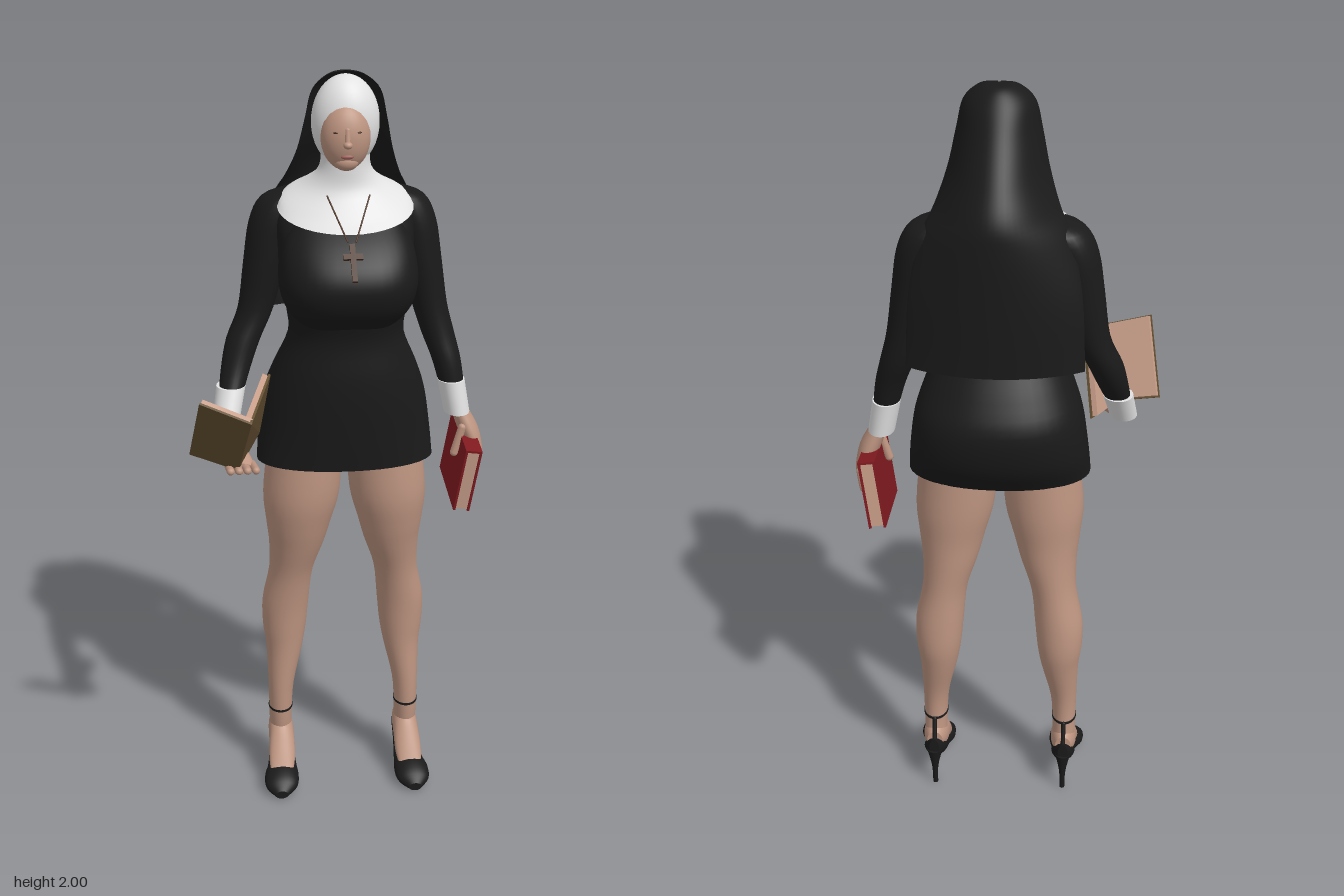
import * as THREE from 'three';
import { ConvexGeometry } from 'three/addons/geometries/ConvexGeometry.js';

const MID = 0.02; // body's plane of symmetry
const V = (x, y, z) => new THREE.Vector3(x, y, z);
const material = (name, color, side = THREE.FrontSide) => {
  const m = new THREE.MeshStandardMaterial({ color, side });
  m.name = name;
  return m;
};

// Surface from index grid; rings wrap when closed
function gridGeometry(rings, closed) {
  const n = rings[0].length, pos = rings.flat().flatMap(p => [p.x, p.y, p.z]), idx = [];
  for (let r = 0; r < rings.length - 1; r++)
    for (let i = 0; i < (closed ? n : n - 1); i++) {
      const a = r * n + i, b = r * n + (i + 1) % n;
      idx.push(a, b, b + n, a, b + n, a + n);
    }
  if (closed) for (const [k, flip] of [[0, true], [rings.length - 1, false]]) { // flat end caps
    const start = pos.length / 3, ring = rings[k];
    const c = ring.reduce((s, p) => s.add(p), V(0, 0, 0)).divideScalar(n);
    for (const p of [...ring, c]) pos.push(p.x, p.y, p.z);
    for (let i = 0; i < n; i++) {
      const a = start + i, b = start + (i + 1) % n;
      idx.push(...(flip ? [b, a, start + n] : [a, b, start + n]));
    }
  }
  const g = new THREE.BufferGeometry();
  g.setAttribute('position', new THREE.Float32BufferAttribute(pos, 3));
  g.setIndex(idx);
  g.computeVertexNormals();
  return g;
}

// Smooth loft through rows of [x, y, z, radiusA, radiusB, tilt], rising along y or z
function loft(rows, { axis = 'y', n = 28, sub = 4, e = 1 } = {}) {
  const k = axis === 'y' ? 1 : 2;
  if (rows[0][k] > rows[rows.length - 1][k]) rows = [...rows].reverse();
  const path = new THREE.CatmullRomCurve3(rows.map(r => V(r[0], r[1], r[2])), false, 'catmullrom');
  const size = new THREE.CatmullRomCurve3(rows.map(r => V(r[3], r[4], r[5] || 0)), false, 'catmullrom');
  const steps = (rows.length - 1) * sub, pw = v => Math.sign(v) * Math.abs(v) ** e;
  const rings = [];
  for (let s = 0; s <= steps; s++) {
    const c = path.getPoint(s / steps), q = size.getPoint(s / steps), ring = [];
    for (let i = 0; i < n; i++) {
      const t = i / n * Math.PI * 2, a = q.x * pw(Math.cos(t)), b = q.y * pw(Math.sin(t));
      ring.push(axis === 'y' ? V(c.x + a, c.y + q.z * b, c.z - b) : V(c.x + a, c.y + b, c.z));
    }
    rings.push(ring);
  }
  return gridGeometry(rings, true);
}

// Convex slab on four corners, between two offsets towards a point
function slab(corners, towards, t0, t1, shrink) {
  const [a, b, c] = corners;
  const mid = corners.reduce((s, p) => s.add(p), V(0, 0, 0)).divideScalar(4);
  const nrm = b.clone().sub(a).cross(c.clone().sub(a)).normalize();
  if (nrm.dot(towards.clone().sub(mid)) < 0) nrm.negate();
  return new ConvexGeometry([t0, t1].flatMap(t =>
    corners.map(p => mid.clone().lerp(p, shrink).addScaledVector(nrm, t))));
}

export function createModel() {
  const skin = material('skin', 0xbe9581), black = material('black cloth', 0x1a1a1a);
  const veilMat = material('veil cloth', 0x1a1a1a, THREE.DoubleSide);
  const white = material('white linen', 0xe2e2e2), red = material('red cover', 0x801a20);
  const brown = material('brown cover', 0x645032), paper = material('paper', 0xc79d88);
  const bronze = material('bronze', 0x4a3020), lip = material('lips', 0xa0605a);
  const model = new THREE.Group();
  const add = (name, geo, mat, parent = model) => {
    const m = new THREE.Mesh(geo, mat);
    m.name = name;
    parent.add(m);
    return m;
  };
  const ball = (name, mat, c, r) => add(name, new THREE.SphereGeometry(1, 28, 20).scale(...r).translate(...c), mat);
  const rod = (name, mat, a, b, r) => {
    const d = b.clone().sub(a);
    const m = add(name, new THREE.CapsuleGeometry(r, d.length(), 5, 10), mat);
    m.position.copy(a).addScaledVector(d, 0.5);
    m.quaternion.setFromUnitVectors(V(0, 1, 0), d.normalize());
  };
  const box = (name, mat, s, p, parent) => add(name, new THREE.BoxGeometry(...s), mat, parent).position.set(...p);
  const mirror = (rows, s) => rows.map(r => [MID + s * (r[0] - MID), ...r.slice(1)]);

  // Dress
  add('dress', loft([
    [MID, 1.0, -0.075, 0.233, 0.125], [MID, 1.08, -0.093, 0.226, 0.153], [MID, 1.18, -0.095, 0.211, 0.165],
    [MID, 1.26, -0.075, 0.184, 0.148], [MID, 1.35, -0.05, 0.148, 0.12], [MID, 1.42, -0.04, 0.152, 0.13],
    [MID, 1.5, -0.04, 0.167, 0.145], [MID, 1.58, -0.055, 0.17, 0.138], [MID, 1.64, -0.08, 0.17, 0.115],
    [MID, 1.69, -0.11, 0.15, 0.085], [MID, 1.74, -0.11, 0.07, 0.05]], { n: 40, e: 0.92 }), black);
  add('bust', loft([
    [MID, 1.375, 0.01, 0.09, 0.05], [MID, 1.41, 0.005, 0.135, 0.092], [MID, 1.45, 0.0, 0.162, 0.127],
    [MID, 1.5, 0.0, 0.173, 0.141], [MID, 1.55, -0.005, 0.17, 0.132], [MID, 1.6, -0.015, 0.158, 0.102],
    [MID, 1.65, -0.03, 0.13, 0.06]], { n: 40, e: 0.78 }), black);

  // Collar, wimple and face
  add('collar', loft([
    [MID, 1.672, -0.06, 0.17, 0.13, 0.32], [MID, 1.695, -0.075, 0.155, 0.111, 0.3],
    [MID, 1.73, -0.082, 0.1, 0.077, 0.2], [MID, 1.77, -0.07, 0.064, 0.06], [MID, 1.84, -0.06, 0.06, 0.055]],
    { n: 36 }), white);
  ball('wimple', white, [MID, 1.878, -0.065], [0.084, 0.113, 0.073]);
  ball('face', skin, [0.016, 1.85, -0.022], [0.061, 0.082, 0.05]);
  ball('chin', skin, [0.016, 1.792, -0.004], [0.03, 0.022, 0.022]);
  ball('noseTip', skin, [0.016, 1.838, 0.031], [0.011, 0.009, 0.012]);
  rod('noseBridge', skin, V(0.016, 1.872, 0.022), V(0.016, 1.842, 0.029), 0.007);
  ball('lips', lip, [0.016, 1.808, 0.018], [0.016, 0.006, 0.006]);
  for (const s of [1, -1]) ball('eye', bronze, [0.016 + s * 0.025, 1.866, 0.019], [0.01, 0.0025, 0.004]);

  // Veil: rows of [y, half width, edge z, back z], folding to a ridge at the back
  const veilRows = [
    [2.0, 0.004, -0.052, -0.062], [1.992, 0.045, -0.045, -0.1], [1.957, 0.083, -0.045, -0.135],
    [1.89, 0.1, -0.048, -0.18], [1.81, 0.118, -0.075, -0.238], [1.74, 0.143, -0.125, -0.28],
    [1.67, 0.176, -0.175, -0.29], [1.54, 0.203, -0.215, -0.29], [1.36, 0.213, -0.23, -0.285]];
  const wide = new THREE.CatmullRomCurve3(veilRows.map(r => V(r[1], r[0], 0)), false, 'catmullrom');
  const deep = new THREE.CatmullRomCurve3(veilRows.map(r => V(r[2], r[3], 0)), false, 'catmullrom');
  const veilRings = [];
  for (let j = 0; j <= 40; j++) {
    const w = wide.getPoint(j / 40), d = deep.getPoint(j / 40), ring = [];
    for (let i = 0; i <= 32; i++) {
      const a = (i / 32 - 0.5) * Math.PI;
      ring.push(V(MID + w.x * Math.sin(a), w.y, d.x + (d.y - d.x) * Math.max(0, Math.cos(a)) ** (1 + 0.8 * j / 40)));
    }
    veilRings.push(ring);
  }
  add('veil', gridGeometry(veilRings, false), veilMat);

  // Necklace and cross
  for (const s of [1, -1])
    rod('necklace', bronze, V(MID + s * 0.052, 1.712, 0.008), V(MID + s * 0.01, 1.618, 0.088), 0.002);
  const cross = new THREE.Group();
  cross.name = 'cross';
  cross.position.set(MID, 1.576, 0.124);
  cross.rotation.x = -0.75;
  model.add(cross);
  box('crossUpright', bronze, [0.013, 0.1, 0.008], [0, 0, 0], cross);
  box('crossBar', bronze, [0.048, 0.014, 0.008], [0, 0.016, 0], cross);

  // Sleeves and cuffs
  const upper = [
    [0.14, 1.705, -0.125, 0.025, 0.04], [0.172, 1.68, -0.13, 0.055, 0.065], [0.2, 1.62, -0.128, 0.058, 0.07],
    [0.22, 1.52, -0.125, 0.054, 0.062], [0.245, 1.4, -0.122, 0.046, 0.05]];
  add('leftSleeve', loft([...upper, [0.268, 1.32, -0.115, 0.043, 0.046],
    [0.29, 1.25, -0.1, 0.038, 0.042], [0.307, 1.17, -0.09, 0.032, 0.036]]), black);
  add('rightSleeve', loft([...mirror(upper, -1), [-0.24, 1.32, -0.105, 0.044, 0.048],
    [-0.262, 1.25, -0.08, 0.038, 0.041], [-0.28, 1.18, -0.042, 0.03, 0.033]]), black);
  add('leftCuff', loft([[0.303, 1.195, -0.092, 0.036, 0.045], [0.32, 1.105, -0.087, 0.034, 0.046]]), white);
  add('rightCuff', loft([[-0.276, 1.21, -0.06, 0.038, 0.043], [-0.292, 1.13, -0.018, 0.035, 0.04]]), white);

  // Left hand gripping the closed book
  add('leftHand', loft([[0.324, 1.12, -0.087, 0.022, 0.03], [0.35, 1.06, -0.083, 0.028, 0.045],
    [0.37, 1.0, -0.083, 0.021, 0.05], [0.371, 0.97, -0.083, 0.013, 0.045]]), skin);
  for (let i = 0; i < 4; i++) {
    const z = -0.12 + i * 0.024;
    rod('leftFinger', skin, V(0.374, 0.995, z), V(0.368, 0.948 + 0.006 * i, z - 0.002), 0.012);
  }
  rod('leftThumb', skin, V(0.33, 1.07, -0.05), V(0.31, 1.0, -0.05), 0.011);
  const closed = new THREE.Group();
  closed.name = 'closedBook';
  closed.position.set(0.336, 0.958, -0.09);
  closed.rotation.set(0.13, 0, -0.14);
  model.add(closed);
  for (const s of [1, -1]) box('cover', red, [0.006, 0.18, 0.225], [s * 0.019, 0, 0], closed);
  box('spine', red, [0.044, 0.006, 0.225], [0, 0.09, 0], closed);
  box('pages', paper, [0.032, 0.173, 0.215], [0, 0, 0], closed);

  // Right hand holding the open book from beneath
  add('rightHand', loft([[-0.293, 1.15, -0.025, 0.027, 0.03], [-0.294, 1.12, 0.03, 0.024, 0.027],
    [-0.283, 1.09, 0.085, 0.036, 0.024], [-0.27, 1.073, 0.13, 0.038, 0.02], [-0.262, 1.066, 0.155, 0.03, 0.014]],
    { axis: 'z' }), skin);
  for (let i = 0; i < 4; i++)
    rod('rightFinger', skin, V(-0.295 + i * 0.02, 1.068, 0.13), V(-0.29 + i * 0.021, 1.07, 0.178), 0.01);
  rod('rightThumb', skin, V(-0.285, 1.1, 0.07), V(-0.268, 1.125, 0.135), 0.011);
  const spineTop = V(-0.24, 1.235, 0.285), spineLow = V(-0.27, 1.066, 0.165), inner = V(-0.285, 1.19, 0.12);
  for (const [top, low] of [[V(-0.182, 1.292, 0.1), V(-0.208, 1.1, 0.005)], [V(-0.362, 1.28, 0.255), V(-0.39, 1.1, 0.13)]]) {
    const corners = [spineTop, spineLow, low, top];
    add('openCover', slab(corners, inner, 0, 0.006, 1), brown);
    add('openPages', slab(corners, inner, 0.006, 0.02, 0.96), paper);
  }

  // Legs and heeled shoes
  const leg = [
    [0.125, 1.03, -0.08, 0.1, 0.105], [0.136, 0.9, -0.08, 0.102, 0.106], [0.144, 0.81, -0.086, 0.087, 0.095],
    [0.15, 0.74, -0.096, 0.074, 0.085], [0.165, 0.65, -0.11, 0.06, 0.072], [0.18, 0.55, -0.122, 0.064, 0.068],
    [0.184, 0.47, -0.126, 0.06, 0.065], [0.186, 0.4, -0.122, 0.05, 0.057], [0.197, 0.29, -0.11, 0.036, 0.045],
    [0.2, 0.2, -0.11, 0.032, 0.042], [0.2, 0.12, -0.12, 0.031, 0.043]];
  const foot = [
    [0.2, 0.14, -0.165, 0.022, 0.03], [0.2, 0.135, -0.13, 0.034, 0.05], [0.2, 0.115, -0.08, 0.036, 0.05],
    [0.202, 0.078, -0.04, 0.037, 0.036], [0.205, 0.042, 0.0, 0.03, 0.012]];
  const shoe = [
    [0.2, 0.13, -0.188, 0.014, 0.032], [0.2, 0.112, -0.155, 0.031, 0.03], [0.2, 0.08, -0.1, 0.034, 0.02],
    [0.202, 0.048, -0.05, 0.04, 0.02], [0.206, 0.034, -0.01, 0.048, 0.032], [0.208, 0.026, 0.03, 0.044, 0.025],
    [0.21, 0.015, 0.058, 0.018, 0.012]];
  const heel = [[0.2, 0, -0.176, 0.007, 0.008], [0.2, 0.06, -0.178, 0.009, 0.01], [0.2, 0.12, -0.172, 0.022, 0.024]];
  const strap = [[0.2, 0.209, -0.11, 0.034, 0.045], [0.2, 0.215, -0.11, 0.034, 0.045]];
  for (const [side, s] of [['left', 1], ['right', -1]]) {
    add(side + 'Leg', loft(mirror(leg, s)), skin);
    add(side + 'Foot', loft(mirror(foot, s), { axis: 'z' }), skin);
    add(side + 'Shoe', loft(mirror(shoe, s), { axis: 'z' }), black);
    add(side + 'Heel', loft(mirror(heel, s), { n: 12 }), black);
    add(side + 'AnkleStrap', loft(mirror(strap, s), { sub: 1 }), black);
    rod(side + 'HeelStrap', black, V(MID + s * 0.18, 0.21, -0.152), V(MID + s * 0.18, 0.14, -0.178), 0.006);
  }
  return model;
}
